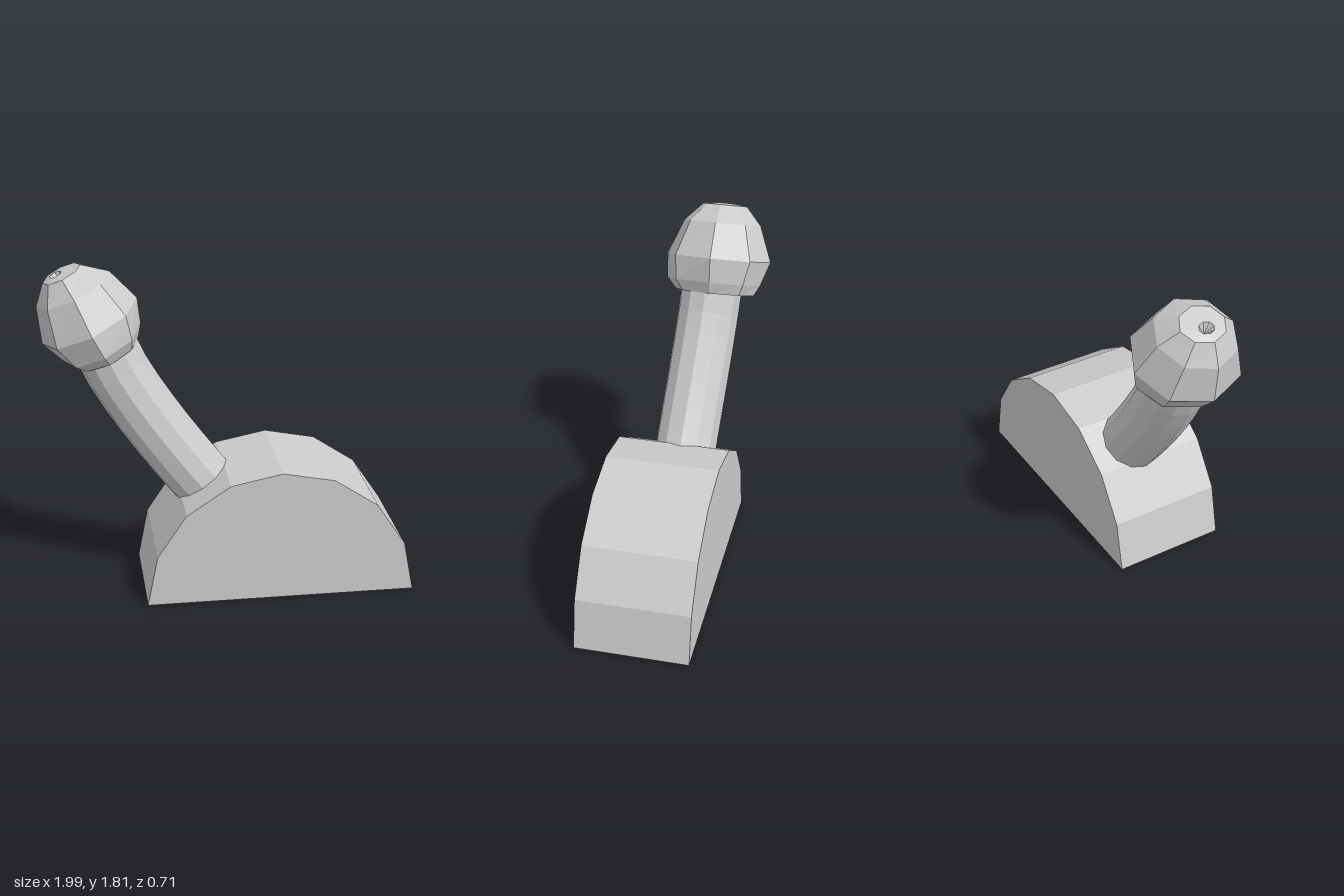
import * as THREE from 'three';

const grey = new THREE.MeshStandardMaterial({ color: 0xcccccc, flatShading: true });
grey.name = 'plain grey';

function part(name, geometry) {
  const mesh = new THREE.Mesh(geometry, grey);
  mesh.name = name;
  return mesh;
}

// Half-round block with eight flat facets
function halfRoundBase() {
  const shape = new THREE.Shape();
  for (let i = 0; i <= 8; i++) {
    const a = (i / 8) * Math.PI;
    const x = 0.265 + 0.735 * Math.cos(a), y = 0.735 * Math.sin(a);
    if (i === 0) shape.moveTo(x, y); else shape.lineTo(x, y);
  }
  shape.closePath();
  const geo = new THREE.ExtrudeGeometry(shape, { depth: 0.625, bevelEnabled: false });
  return geo.translate(0, 0, -0.27);
}

// Curved twelve-sided post leaning out of the base
function curvedPost() {
  const path = new THREE.CatmullRomCurve3([
    [0.0, 0.42, 0], [-0.145, 0.595, 0], [-0.38, 0.91, -0.015],
    [-0.565, 1.2, -0.03], [-0.64, 1.36, -0.038], [-0.69, 1.48, -0.045],
  ].map((p) => new THREE.Vector3(...p)));
  return new THREE.TubeGeometry(path, 9, 0.173, 12, false);
}

// Faceted knob lofted along the post's tilted axis, with a small pit on top
function knob() {
  const centre = new THREE.Vector3(-0.7, 1.5, -0.06);
  const axis = new THREE.Vector3(-0.42, 0.907, 0).normalize();
  const across = new THREE.Vector3(axis.y, -axis.x, 0);
  const sides = 8;
  // height, offset across, radius across, radius to front, radius to back
  const rings = [
    [-0.15, 0, 0, 0, 0],
    [-0.19, -0.005, 0.185, 0.23, 0.22],
    [-0.13, -0.01, 0.23, 0.285, 0.25],
    [0.005, -0.015, 0.28, 0.295, 0.295],
    [0.2, -0.015, 0.215, 0.215, 0.22],
    [0.3, -0.03, 0.11, 0.12, 0.13],
    [0.31, -0.06, 0.035, 0.04, 0.045],
    [0.25, -0.06, 0, 0, 0],
  ];
  const point = ([t, s, r, front, back], k) => {
    const a = (k / sides) * Math.PI * 2, sin = Math.sin(a);
    const p = centre.clone().addScaledVector(axis, t).addScaledVector(across, s + r * Math.cos(a));
    p.z += sin * (sin > 0 ? front : back);
    return p;
  };
  const pts = [];
  for (let j = 0; j < rings.length - 1; j++) {
    for (let k = 0; k < sides; k++) {
      const a = point(rings[j], k), b = point(rings[j], k + 1);
      const c = point(rings[j + 1], k), d = point(rings[j + 1], k + 1);
      if (rings[j][2] > 0) pts.push(a, c, b);
      if (rings[j + 1][2] > 0) pts.push(b, c, d);
    }
  }
  const geo = new THREE.BufferGeometry().setFromPoints(pts);
  geo.computeVertexNormals();
  return geo;
}

export function createModel() {
  const model = new THREE.Group();
  model.name = 'leverOnBase';
  model.add(
    part('halfRoundBase', halfRoundBase()),
    part('curvedPost', curvedPost()),
    part('knob', knob()),
  );
  return model;
}
